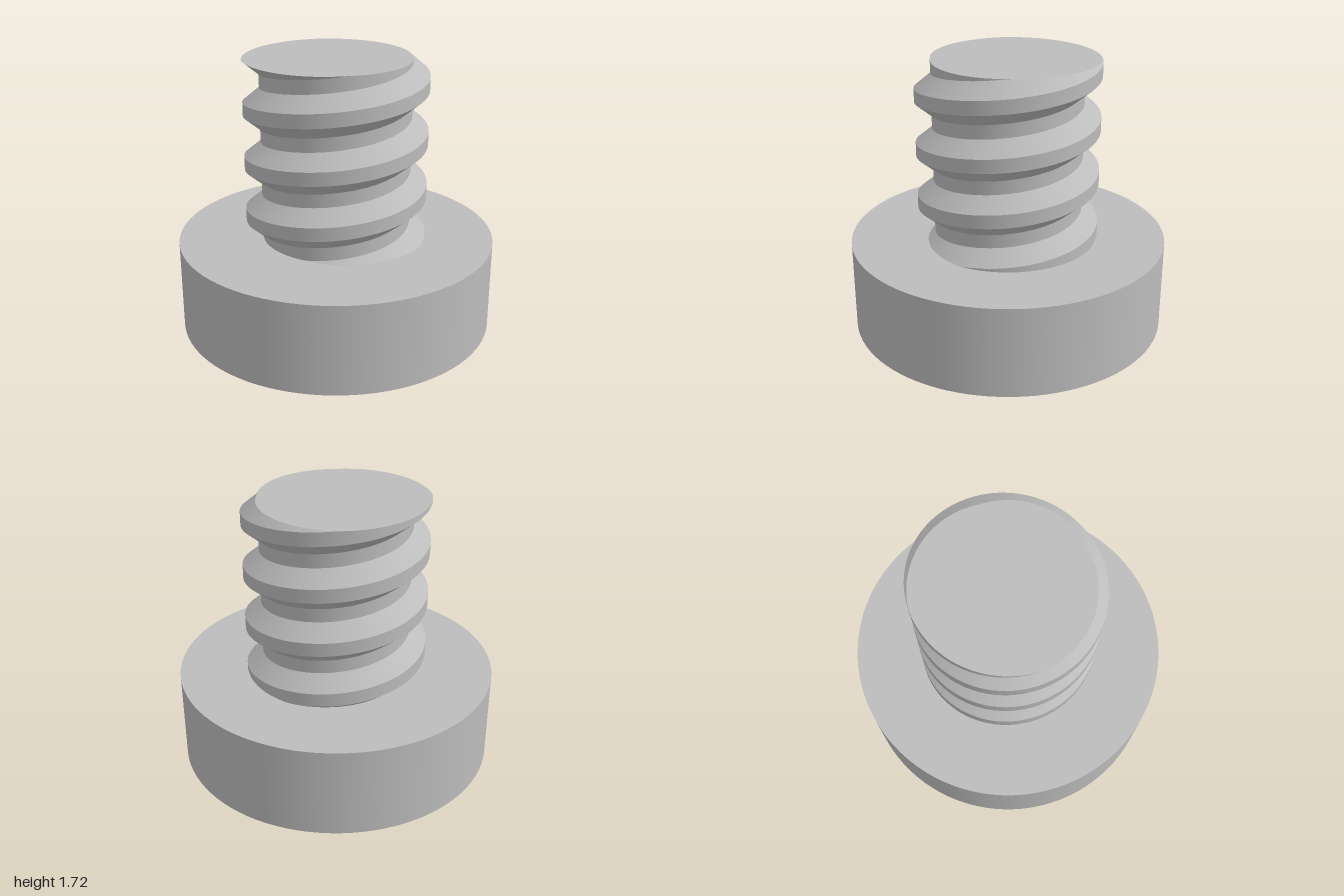
import * as THREE from 'three';
import { toCreasedNormals } from 'three/addons/utils/BufferGeometryUtils.js';

const HEAD_TOP = 0.572, TOP = 1.716, PITCH = 0.343;
const ROOT = 0.468, CREST = 0.571, PHASE = 1.26; // PHASE: height of a crest centre on the +x side
const Q = PITCH / 4, STEPS = 96;

// Radius of the thread at an angle and height: flat crest, sloped flanks, flat root
function radiusAt(angle, y) {
  const turns = (y - PHASE) / PITCH - angle / (2 * Math.PI);
  const d = Math.abs(turns - Math.round(turns)) * PITCH;
  const t = THREE.MathUtils.clamp((d - Q / 2) / Q, 0, 1);
  return THREE.MathUtils.lerp(CREST, ROOT, t);
}

function pointAt(angle, height) {
  const y = THREE.MathUtils.clamp(height, HEAD_TOP, TOP);
  const r = radiusAt(angle, y);
  return new THREE.Vector3(r * Math.cos(angle), y, -r * Math.sin(angle));
}

function threadGeometry() {
  const positions = [];
  const addTriangle = (a, b, c) => {
    const area = b.clone().sub(a).cross(c.clone().sub(a)).length();
    if (area > 1e-9) positions.push(...a, ...b, ...c);
  };
  // Ribbon of root, lower flank, crest and upper flank wound up the shank, cut level at both ends
  const offsets = [-2.5, -1.5, -0.5, 0.5, 1.5].map(k => k * Q);
  const first = Math.floor((HEAD_TOP - PHASE) / PITCH - 1) * STEPS;
  const last = Math.ceil((TOP - PHASE) / PITCH + 1) * STEPS;
  for (let i = first; i < last; i++) {
    const a0 = i / STEPS * 2 * Math.PI, a1 = (i + 1) / STEPS * 2 * Math.PI;
    const y0 = PHASE + i / STEPS * PITCH, y1 = PHASE + (i + 1) / STEPS * PITCH;
    for (let j = 0; j < 4; j++) {
      const a = pointAt(a0, y0 + offsets[j]), b = pointAt(a0, y0 + offsets[j + 1]);
      const d = pointAt(a1, y1 + offsets[j]), c = pointAt(a1, y1 + offsets[j + 1]);
      addTriangle(a, d, c);
      addTriangle(a, c, b);
    }
  }
  // Flat end face
  const centre = new THREE.Vector3(0, TOP, 0);
  for (let i = 0; i < STEPS; i++) {
    addTriangle(centre, pointAt(i / STEPS * 2 * Math.PI, TOP), pointAt((i + 1) / STEPS * 2 * Math.PI, TOP));
  }
  const geometry = new THREE.BufferGeometry();
  geometry.setAttribute('position', new THREE.Float32BufferAttribute(positions, 3));
  return toCreasedNormals(geometry, 0.5);
}

export function createModel() {
  const group = new THREE.Group();
  group.name = 'bolt';
  const steel = new THREE.MeshStandardMaterial({ color: 0xbcbcbc });
  steel.name = 'grey';

  // Round head
  const head = new THREE.Mesh(new THREE.CylinderGeometry(1, 1, HEAD_TOP, 96), steel);
  head.name = 'head';
  head.position.y = HEAD_TOP / 2;

  // Threaded shank
  const shank = new THREE.Mesh(threadGeometry(), steel);
  shank.name = 'threadedShank';

  group.add(head, shank);
  return group;
}
